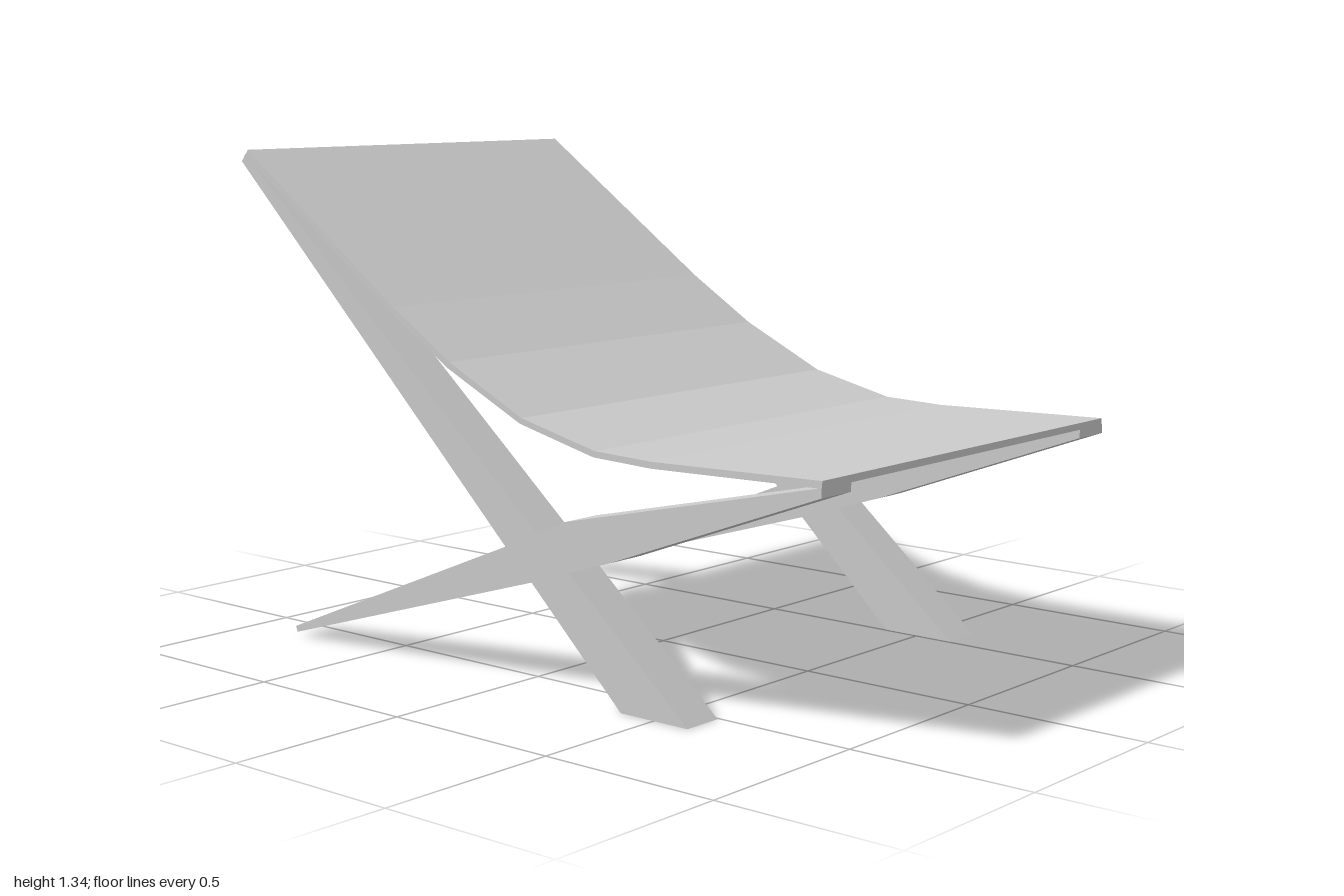
import * as THREE from 'three';

const material = new THREE.MeshStandardMaterial({ color: 0xcccccc, flatShading: true });

// Extrudes a side outline, given as [z, y] points, across the width from x0 to x1
function sidePanel(name, outline, x0, x1) {
  const shape = new THREE.Shape(outline.map(([z, y]) => new THREE.Vector2(z, y)));
  const geometry = new THREE.ExtrudeGeometry(shape, { depth: x1 - x0, bevelEnabled: false });
  geometry.rotateY(-Math.PI / 2).translate(x1, 0, 0);
  const mesh = new THREE.Mesh(geometry, material);
  mesh.name = name;
  return mesh;
}

export function createModel() {
  const chair = new THREE.Group();
  chair.name = 'slingChair';

  // Crossed legs, cut as one X-shaped piece on each side
  const crossOutline = [
    [0.608, 0], [0.394, 0], [0.094, 0.284],                     // front foot
    [-0.811, 0.011], [-0.817, 0.027], [0.003, 0.364],           // rear foot
    [-1, 1.312], [-0.985, 1.332], [0.115, 0.412],               // back support
    [0.212, 0.455], [1, 0.634], [1, 0.61], [0.356, 0.37], [0.222, 0.327], // seat support
  ];
  chair.add(sidePanel('leftCrossedLegs', crossOutline, 0.506, 0.62));
  chair.add(sidePanel('rightCrossedLegs', crossOutline, -0.62, -0.506));

  // Thin curved seat and backrest in one sheet
  const top = [
    [1, 0.65], [0.49, 0.637], [0.308, 0.643], [0.06, 0.7],
    [-0.195, 0.82], [-0.404, 0.948], [-0.978, 1.344],
  ];
  const underside = [
    [1, 0.632], [0.49, 0.62], [0.303, 0.627], [0.055, 0.685],
    [-0.202, 0.804], [-0.412, 0.932], [-0.988, 1.329],
  ];
  chair.add(sidePanel('slingSeat', [...top, ...underside.reverse()], -0.617, 0.617));

  return chair;
}
